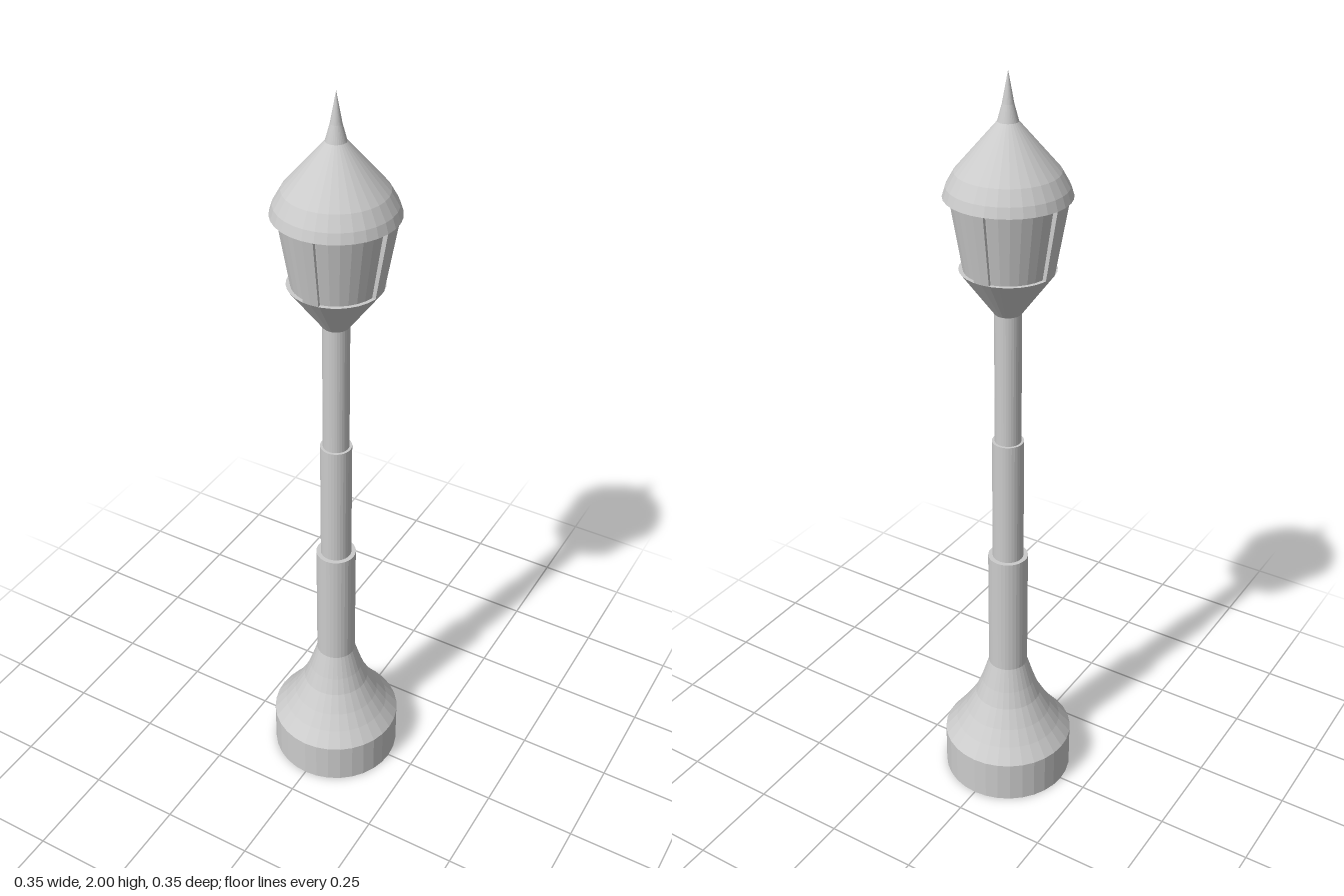
import * as THREE from 'three';

const SIDES = 32;
const material = new THREE.MeshStandardMaterial({ color: 0xcccccc, flatShading: true });

export function createModel() {
  const group = new THREE.Group();

  const add = (name, geometry) => {
    const flat = geometry.index ? geometry.toNonIndexed() : geometry;
    flat.computeVertexNormals();
    const mesh = new THREE.Mesh(flat, material);
    mesh.name = name;
    group.add(mesh);
    return mesh;
  };

  // Turned part from [radius, height] pairs, listed bottom to top
  const turned = (name, profile) =>
    add(name, new THREE.LatheGeometry(profile.map(([r, y]) => new THREE.Vector2(r, y)), SIDES));

  // Round plinth with a concave flare up to the pole
  turned('base', [
    [0, 0], [0.177, 0], [0.177, 0.12], [0.145, 0.16], [0.118, 0.2],
    [0.09, 0.25], [0.073, 0.295], [0.053, 0.36],
  ]);

  // Three pole sections, each thinner than the one below
  turned('lowerPole', [[0.053, 0.36], [0.053, 0.71], [0, 0.71]]);
  turned('middlePole', [[0.041, 0.71], [0.041, 1.06], [0, 1.06]]);
  turned('upperPole', [[0.034, 1.06], [0.034, 1.42]]);

  // Lantern: cup, recessed glass, roof with spike
  turned('lanternCup', [[0, 1.415], [0.034, 1.415], [0.118, 1.53], [0, 1.53]]);
  turned('lanternGlass', [[0.108, 1.53], [0.138, 1.71]]);
  turned('lanternRoof', [
    [0, 1.71], [0.153, 1.71], [0.145, 1.735], [0.125, 1.77],
    [0.025, 1.885], [0.014, 1.925], [0, 2],
  ]);

  // Four curved posts: a box bent around the axis and leaning outward
  const halfAngle = Math.PI / 18;
  for (let i = 0; i < 4; i++) {
    const geometry = new THREE.BoxGeometry(2, 1, 1, 2, 1, 1);
    const p = geometry.attributes.position;
    for (let v = 0; v < p.count; v++) {
      const angle = i * Math.PI / 2 + p.getX(v) * halfAngle;
      const t = p.getY(v) + 0.5;
      const radius = THREE.MathUtils.lerp(0.118, 0.15, t) - (p.getZ(v) < 0 ? 0.016 : 0);
      p.setXYZ(v, radius * Math.sin(angle), 1.53 + 0.18 * t, radius * Math.cos(angle));
    }
    add('lanternPost', geometry);
  }

  return group;
}
